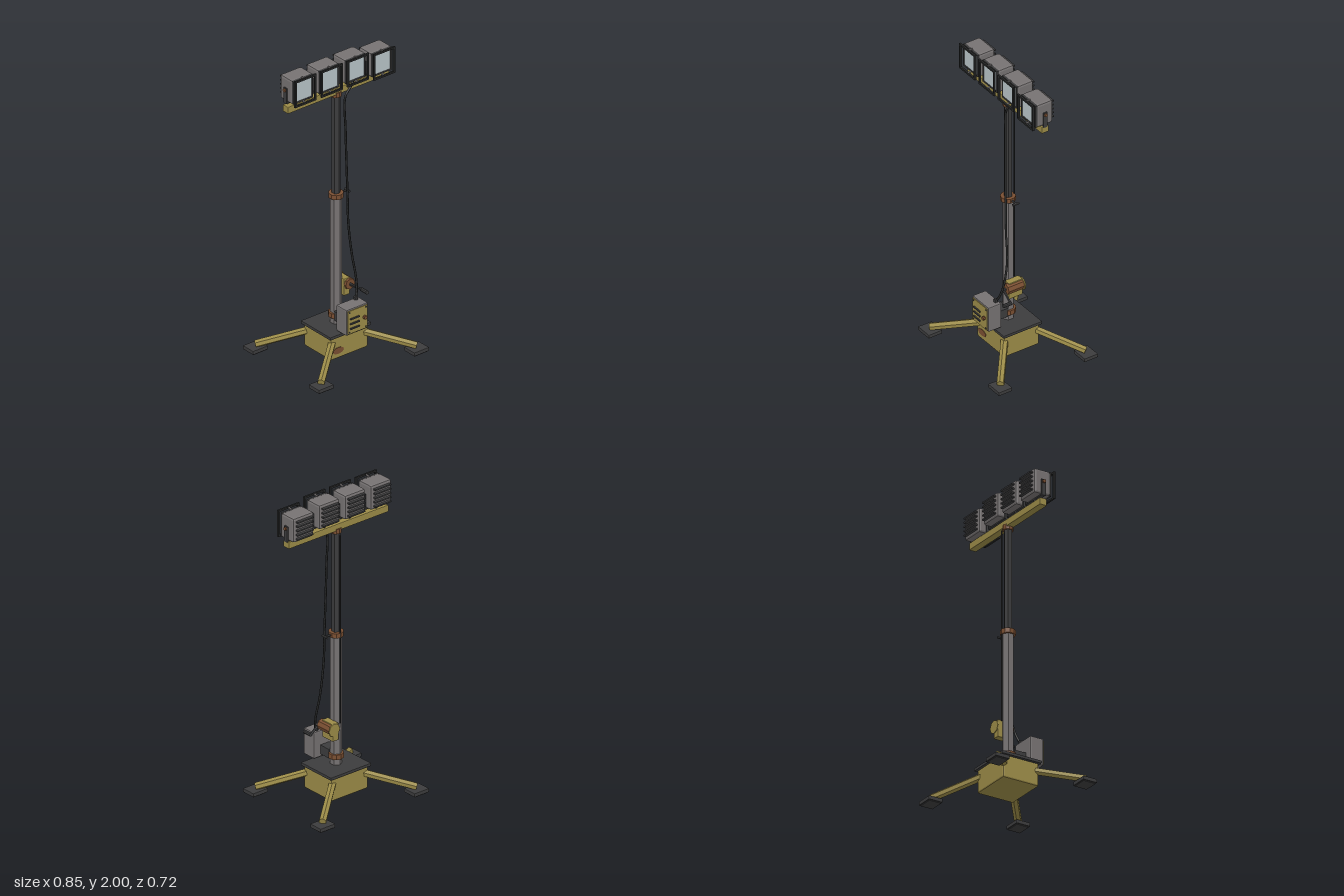
import * as THREE from 'three';
import { RoundedBoxGeometry } from 'three/addons/geometries/RoundedBoxGeometry.js';

const mat = (name, color) => new THREE.MeshStandardMaterial({ name, color });

export function createModel() {
  const olive = mat('olivePaint', 0x9c8c48), grey = mat('greyMetal', 0x767272);
  const dark = mat('darkSteel', 0x3c3c3d), black = mat('blackRubber', 0x262727);
  const rust = mat('rust', 0x7a4f32), glass = mat('lampGlass', 0xb9c5c9);
  const model = new THREE.Group();
  model.name = 'lightTower';

  const V = (x, y, z) => new THREE.Vector3(x, y, z);
  const add = (parent, name, geo, material, x = 0, y = 0, z = 0) => {
    const m = new THREE.Mesh(geo, material);
    m.name = name;
    m.position.set(x, y, z);
    parent.add(m);
    return m;
  };
  const flat = (geo) => {
    const g = geo.index ? geo.toNonIndexed() : geo;
    g.computeVertexNormals();
    return g;
  };
  // box with chamfered edges
  const bevel = (w, h, d, r = 0.008) => flat(new RoundedBoxGeometry(w, h, d, 1, r));
  const box = (w, h, d) => new THREE.BoxGeometry(w, h, d);
  // faceted bar between two points
  const bar = (parent, name, a, b, r, sides, material) => {
    const dir = b.clone().sub(a);
    const m = add(parent, name, flat(new THREE.CylinderGeometry(r, r, dir.length(), sides)), material);
    m.position.copy(a).add(b).multiplyScalar(0.5);
    m.quaternion.setFromUnitVectors(V(0, 1, 0), dir.normalize());
    return m;
  };

  // base
  add(model, 'baseBox', bevel(0.286, 0.15, 0.254, 0.01), olive, 0, 0.107, 0);
  add(model, 'basePlate', bevel(0.315, 0.02, 0.28, 0.004), dark, 0, 0.19, 0);
  const patch = add(model, 'rustPatch', new THREE.CylinderGeometry(1, 1, 0.004, 9), rust, -0.086, 0.085, 0.128);
  patch.rotation.x = Math.PI / 2;
  patch.scale.set(0.042, 1, 0.022);

  // outrigger legs with foot pads
  for (const sx of [-1, 1]) for (const sz of [-1, 1]) {
    bar(model, 'leg', V(sx * 0.1, 0.145, sz * 0.092), V(sx * 0.367, 0.042, sz * 0.31), 0.024, 6, olive);
    add(model, 'footPad', bevel(0.115, 0.025, 0.098, 0.004), dark, sx * 0.367, 0.0165, sz * 0.311);
    add(model, 'footSole', box(0.1, 0.008, 0.085), dark, sx * 0.367, 0.004, sz * 0.311);
  }

  // telescopic mast
  const mast = new THREE.Group();
  mast.name = 'mast';
  model.add(mast);
  const tube = (name, y0, y1, r, material, sides = 6) => bar(mast, name, V(0, y0, 0), V(0, y1, 0), r, sides, material);
  tube('lowerMast', 0.2, 1.055, 0.037, grey);
  tube('upperMast', 1.05, 1.76, 0.026, dark);
  tube('lowerCollar', 0.24, 0.272, 0.048, rust, 10);
  tube('middleCollar', 1.05, 1.08, 0.047, rust, 10);
  tube('topCollar', 1.738, 1.77, 0.034, rust, 10);
  bar(mast, 'clampScrew', V(0.04, 1.065, 0), V(0.085, 1.065, 0), 0.007, 6, dark);
  bar(mast, 'clampHandle', V(0.085, 1.065, -0.02), V(0.085, 1.065, 0.025), 0.008, 6, dark);
  bar(mast, 'hoistRope', V(0.004, 0.48, -0.042), V(0.004, 1.73, -0.042), 0.0045, 6, black);

  // winch with crank
  const winch = new THREE.Group();
  winch.name = 'winch';
  model.add(winch);
  add(winch, 'winchHousing', bevel(0.048, 0.115, 0.1, 0.006), olive, 0.049, 0.438, -0.006);
  bar(winch, 'winchDrum', V(0.062, 0.457, -0.052), V(0.062, 0.457, 0.06), 0.036, 8, rust);
  bar(winch, 'drumCap', V(0.062, 0.457, -0.06), V(0.062, 0.457, -0.052), 0.043, 8, olive);
  bar(winch, 'crankAxle', V(0.062, 0.457, 0.06), V(0.062, 0.457, 0.08), 0.01, 6, dark);
  bar(winch, 'crankArm', V(0.056, 0.46, 0.075), V(0.138, 0.4, 0.075), 0.008, 6, dark);
  bar(winch, 'crankGrip', V(0.136, 0.402, 0.07), V(0.136, 0.402, 0.13), 0.012, 8, dark);

  // control box
  const control = new THREE.Group();
  control.name = 'controlBox';
  model.add(control);
  add(control, 'controlCase', bevel(0.168, 0.175, 0.096, 0.008), grey, 0, 0.298, 0.152);
  add(control, 'controlBracket', box(0.07, 0.06, 0.09), dark, 0, 0.26, 0.067);
  add(control, 'controlPanel', box(0.148, 0.155, 0.006), olive, 0, 0.298, 0.202);
  for (const y of [0.255, 0.288, 0.321])
    add(control, 'panelSlot', box(0.068, 0.009, 0.01), dark, -0.024, y, 0.208);
  bar(control, 'panelKnob', V(0.05, 0.3, 0.2), V(0.05, 0.3, 0.221), 0.012, 8, rust);
  for (const x of [-0.064, 0.064]) for (const y of [0.232, 0.364])
    add(control, 'panelBolt', box(0.008, 0.008, 0.005), dark, x, y, 0.206);

  // power cable down to the control box
  const path = new THREE.CatmullRomCurve3([
    V(0.11, 1.82, 0.03), V(0.085, 1.785, 0.036), V(0.04, 1.735, 0.04), V(0.038, 1.5, 0.044), V(0.048, 1.06, 0.05),
    V(0.052, 0.88, 0.052), V(0.074, 0.66, 0.058), V(0.082, 0.5, 0.09), V(0.07, 0.43, 0.11), V(0.05, 0.385, 0.125),
  ]);
  add(model, 'cable', new THREE.TubeGeometry(path, 60, 0.007, 6), black);
  bar(model, 'cablePlug', V(0.05, 0.382, 0.125), V(0.05, 0.405, 0.122), 0.013, 8, dark);

  // lamp bar
  add(model, 'lampBar', bevel(0.78, 0.046, 0.05, 0.005), olive, 0, 1.779, 0);

  // rectangular ring facing +z
  const ring = (w, h, t, d) => {
    const rect = (P, a, b) => new P([[-a, -b], [a, -b], [a, b], [-a, b]].map(([x, y]) => new THREE.Vector2(x, y)));
    const s = rect(THREE.Shape, w / 2, h / 2);
    s.holes.push(rect(THREE.Path, w / 2 - t, h / 2 - t));
    return new THREE.ExtrudeGeometry(s, { depth: d, bevelEnabled: false });
  };

  // floodlights, the last one sagging a little
  [-0.303, -0.101, 0.101, 0.303].forEach((x, i) => {
    const lamp = new THREE.Group();
    lamp.name = 'floodlight';
    lamp.position.set(x, i === 3 ? 1.886 : 1.91, 0);
    model.add(lamp);
    add(lamp, 'lampHousing', bevel(0.16, 0.162, 0.114, 0.014), grey, 0, 0, -0.003);
    add(lamp, 'lampBezel', ring(0.152, 0.156, 0.01, 0.014), dark, 0, 0, 0.048);
    add(lamp, 'lampLens', box(0.134, 0.138, 0.006), glass, 0, 0, 0.056);
    add(lamp, 'lampGuard', ring(0.164, 0.178, 0.012, 0.012), black, 0, 0, 0.076);
    for (const s of [-1, 1]) {
      bar(lamp, 'guardPost', V(0, s * 0.077, 0.05), V(0, s * 0.082, 0.08), 0.007, 6, grey);
      // yoke arms and pivots
      add(lamp, 'yokeArm', box(0.008, 0.1, 0.028), dark, s * 0.086, -0.035, 0);
      bar(lamp, 'pivotBolt', V(s * 0.078, 0, 0), V(s * 0.099, 0, 0), 0.011, 8, Math.abs(x + s * 0.1) > 0.4 ? rust : dark);
    }
    add(lamp, 'yokeBase', box(0.18, 0.008, 0.028), dark, 0, -0.086, 0);
    bar(lamp, 'lampStem', V(0, -0.112, 0), V(0, -0.084, 0), 0.014, 8, dark);
    // cooling fins on the back
    for (let k = -2; k <= 2; k++)
      add(lamp, 'coolingFin', box(0.124, 0.009, 0.022), dark, 0, k * 0.028, -0.068);
  });

  return model;
}
